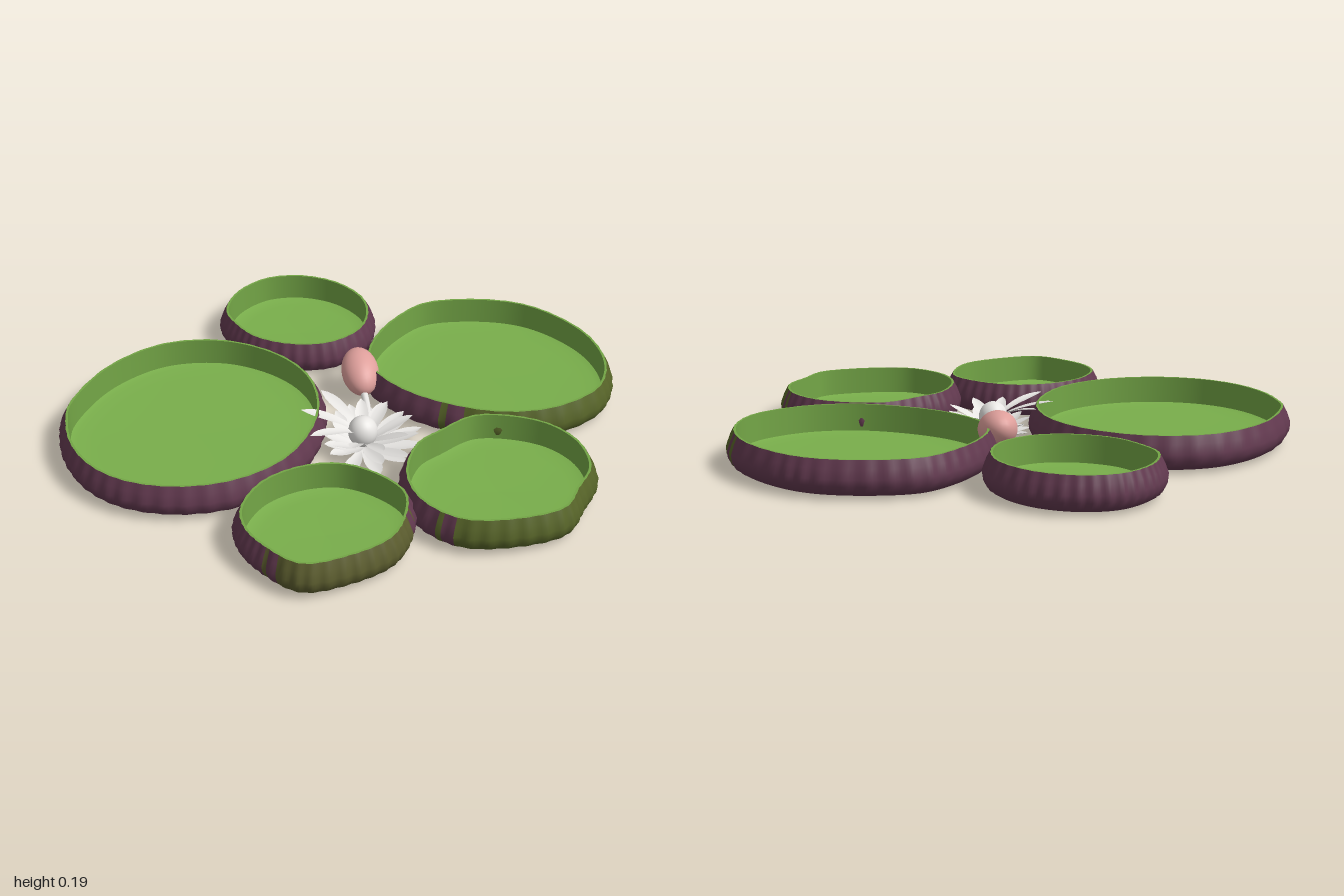
import * as THREE from 'three';

const mat = (name, color, side = THREE.FrontSide) => {
  const m = new THREE.MeshStandardMaterial({ color, side });
  m.name = name;
  return m;
};

const N = 240; // columns round each pad

// Pad outlines as [x, z] corners, and the range of angles (degrees) where the rim is green
const PADS = [
  { name: 'largePad', rim: null, pts: [[-.72, -.935], [-.42, -1], [-.15, -.93], [.02, -.74], [.07, -.5], [.02, -.29],
    [-.12, -.12], [-.31, -.02], [-.53, .01], [-.74, -.06], [-.9, -.21], [-.985, -.4], [-.985, -.58], [-.92, -.74], [-.82, -.86]] },
  { name: 'backPad', rim: null, pts: [[.16, -.88], [.26, -.94], [.38, -.96], [.52, -.925], [.63, -.81], [.675, -.64], [.63, -.46],
    [.52, -.35], [.38, -.305], [.22, -.35], [.11, -.48], [.07, -.64], [.1, -.77]] },
  { name: 'leftPad', rim: [50, 160], pts: [[.24, -.21], [.38, -.27], [.56, -.29], [.73, -.26], [.87, -.13], [.97, .05],
    [.99, .21], [.94, .43], [.83, .59], [.7, .68], [.56, .71], [.35, .64], [.2, .49], [.12, .29], [.1, .08], [.15, -.11]] },
  { name: 'rightPad', rim: [62, 172], brown: true, pts: [[-.85, .02], [-.67, -.02], [-.5, .04], [-.39, .16], [-.36, .32],
    [-.4, .48], [-.53, .57], [-.67, .6], [-.84, .54], [-.985, .42], [-.985, .24], [-.94, .11]] },
  { name: 'frontPad', rim: [35, 172], pts: [[-.34, .38], [-.15, .3], [-.02, .32], [.15, .375], [.24, .5], [.28, .66],
    [.24, .82], [.12, .945], [-.03, .98], [-.17, 1], [-.34, .89], [-.46, .72], [-.45, .53]] },
];

// Cross-sections: [radius scale, inset, height, ripple]
const UNDERSIDE = [[0, 0, .008, 0], [.5, 0, .01, 0], [1, .035, .015, 0]];
const RIM = [[1, .035, .015, 0], [1, .012, .03, .002], [1, 0, .055, .003], [1, -.002, .08, .004],
  [1, .01, .115, .003], [1, .025, .146, .001]];
const LIP = [[1, .025, .146, .001], [1, .034, .146, 0]];
const WALL = [[1, .034, .146, 0], [1, .035, .09, 0], [1, .036, .04, 0]];
const FLOOR = [[1, .036, .04, 0], [1, .06, .034, 0], [.8, .03, .032, 0], [.4, 0, .03, 0], [0, 0, .028, 0]];

// Sweeps a cross-section round an outline, keeping the columns that pass the test
function sweep(outline, profile, keep = () => true) {
  const pos = [], index = [];
  for (const [scale, inset, y, ripple] of profile) {
    outline.ring.forEach((p, i) => {
      const r = Math.max(0, p.r * scale - inset + ripple * Math.sin(i * Math.PI * 2 * 40 / N));
      pos.push(outline.cx + Math.cos(p.a) * r, y, outline.cz + Math.sin(p.a) * r);
    });
  }
  for (let k = 0; k < profile.length - 1; k++) {
    for (let i = 0; i < N; i++) {
      if (!keep(i)) continue;
      const j = (i + 1) % N, a = k * N + i, b = k * N + j, c = a + N, d = b + N;
      index.push(a, c, b, b, c, d);
    }
  }
  const g = new THREE.BufferGeometry();
  g.setAttribute('position', new THREE.Float32BufferAttribute(pos, 3));
  g.setIndex(index);
  g.computeVertexNormals();
  return g;
}

function makeOutline(pts) {
  const curve = new THREE.CatmullRomCurve3(pts.map(([x, z]) => new THREE.Vector3(x, 0, z)), true);
  const xs = pts.map(p => p[0]), zs = pts.map(p => p[1]);
  const cx = (Math.min(...xs) + Math.max(...xs)) / 2, cz = (Math.min(...zs) + Math.max(...zs)) / 2;
  const ring = [];
  for (let i = 0; i < N; i++) {
    const p = curve.getPoint(i / N);
    ring.push({ a: Math.atan2(p.z - cz, p.x - cx), r: Math.hypot(p.x - cx, p.z - cz) });
  }
  return { cx, cz, ring };
}

// A shallow, round-tipped petal that runs along +x and rises to its tip
function petalGeometry(length, width, rise, bend) {
  const g = new THREE.PlaneGeometry(1, 1, 10, 4);
  g.rotateX(-Math.PI / 2);
  const p = g.attributes.position;
  for (let i = 0; i < p.count; i++) {
    const t = p.getX(i) + .5, s = p.getZ(i) * 2;
    const w = width / 2 * (.4 + .6 * Math.sin(Math.PI * Math.pow(t, 1.6))) * Math.sqrt(1 - Math.pow(t, 8));
    p.setXYZ(i, length * t, rise * Math.pow(t, bend) + s * s * w * .2, s * w);
  }
  g.computeVertexNormals();
  return g;
}

export function createModel() {
  const model = new THREE.Group();
  model.name = 'waterLilies';

  const leaf = mat('leafGreen', 0x79ae4b);
  const wall = mat('innerWallGreen', 0x73a546);
  const under = mat('undersideGreen', 0x74b346);
  const purple = mat('rimPurple', 0x62394f);
  const olive = mat('rimOlive', 0x566328);
  const brown = mat('rimBrown', 0x5b5c2e);
  const white = mat('petalWhite', 0xfbf9f6, THREE.DoubleSide);
  const pink = mat('budPink', 0xde9f9b);

  const add = (parent, name, geometry, material) => {
    const m = new THREE.Mesh(geometry, material);
    m.name = name;
    parent.add(m);
    return m;
  };

  // Lily pads: underside, upright rim and dished top
  for (const pad of PADS) {
    const group = new THREE.Group();
    group.name = pad.name;
    model.add(group);
    const outline = makeOutline(pad.pts);
    const isGreen = i => {
      if (!pad.rim) return false;
      const deg = (THREE.MathUtils.radToDeg(outline.ring[i].a) + 360) % 360;
      const depth = Math.min(deg - pad.rim[0], pad.rim[1] - deg);
      return depth > 0 || (depth > -14 && i % 7 < 2); // streaks at the ends
    };
    add(group, 'underside', sweep(outline, UNDERSIDE), under);
    add(group, 'purpleRim', sweep(outline, RIM, i => !isGreen(i)), purple);
    if (pad.rim) add(group, 'greenRim', sweep(outline, RIM, isGreen), pad.brown ? brown : olive);
    add(group, 'lip', sweep(outline, LIP), wall);
    add(group, 'innerWall', sweep(outline, WALL), wall);
    add(group, 'leafTop', sweep(outline, FLOOR), leaf);
  }

  // Open flower: rings of petals round a rounded heart
  const flower = new THREE.Group();
  flower.name = 'flower';
  flower.position.set(-.125, .004, .06);
  model.add(flower);
  let seed = 7;
  const rand = () => (seed = (seed * 16807) % 2147483647) / 2147483647;
  const layers = [[11, .245, .062, .03, 1.3], [10, .235, .06, .07, 1.1], [9, .2, .052, .105, .75]];
  layers.forEach(([count, length, width, rise, bend], k) => {
    for (let i = 0; i < count; i++) {
      const angle = (i + k * .5 + (rand() - .5) * .5) / count * Math.PI * 2;
      // lower petals stop short of the large pad's rim, upper ones arch over it
      const nearPad = Math.cos(angle - Math.PI * .75) > .55;
      const arched = nearPad && k === 2;
      const size = arched ? .24 : nearPad ? .15 : length * (.86 + rand() * .16);
      const geometry = arched ? petalGeometry(size, width, .138, .33) : petalGeometry(size, width, rise * (.85 + rand() * .2), bend);
      const petal = add(flower, 'petal', geometry, white);
      petal.rotation.y = angle;
      petal.position.y = k * .006;
    }
  });
  const heart = add(flower, 'flowerHeart', new THREE.SphereGeometry(.057, 24, 16), white);
  heart.scale.y = 1.1;
  heart.position.y = .078;

  // Closed bud lying on its stalk
  const bud = add(model, 'bud', new THREE.SphereGeometry(1, 28, 20), pink);
  bud.scale.set(.113, .07, .074);
  bud.position.set(.16, .123, -.16);
  bud.rotation.set(0, Math.PI / 4, .3, 'YXZ');
  const path = new THREE.CatmullRomCurve3([[-.08, .02, .03], [.02, .04, -.02], [.11, .095, -.11]].map(p => new THREE.Vector3(...p)));
  add(model, 'budStalk', new THREE.TubeGeometry(path, 12, .014, 8), white);

  return model;
}
